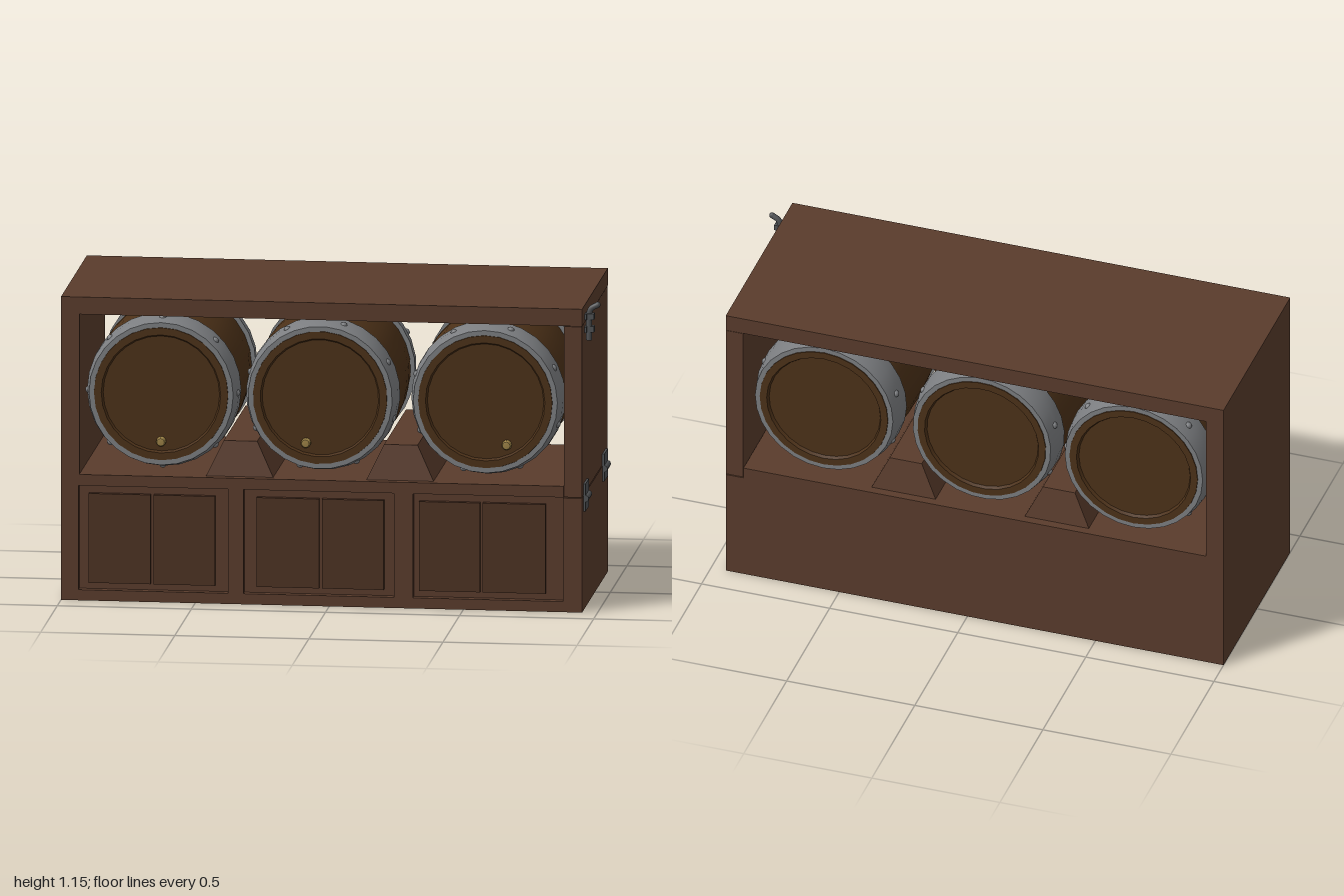
import * as THREE from 'three';
import { toCreasedNormals } from 'three/addons/utils/BufferGeometryUtils.js';

const mat = (color) => new THREE.MeshStandardMaterial({ color });
const wood = mat(0x5a3c2c), doorWood = mat(0x4d3223), barrelWood = mat(0x4c3118);
const steel = mat(0x7c7e81), iron = mat(0x505254), brass = mat(0x9c8246);

function add(parent, name, geometry, material, x = 0, y = 0, z = 0) {
  const mesh = new THREE.Mesh(geometry, material);
  mesh.name = name;
  mesh.position.set(x, y, z);
  parent.add(mesh);
  return mesh;
}

// Box given by its limits on each axis
function block(parent, name, material, [x0, x1], [y0, y1], [z0, z1]) {
  const geometry = new THREE.BoxGeometry(x1 - x0, y1 - y0, z1 - z0);
  return add(parent, name, geometry, material, (x0 + x1) / 2, (y0 + y1) / 2, (z0 + z1) / 2);
}

const outline = (points) => new THREE.Shape(points.map(([x, y]) => new THREE.Vector2(x, y)));
const extrude = (shape, depth) => new THREE.ExtrudeGeometry(shape, { depth, bevelEnabled: false });

// Profile of [radius, z] turned about the z axis
function turned(profile, sides) {
  const geometry = new THREE.LatheGeometry(profile.map(([r, z]) => new THREE.Vector2(r, z)), sides);
  return toCreasedNormals(geometry.rotateX(Math.PI / 2), 0.6);
}

// Box whose top is narrowed on all four sides
function taperedBox(width, height, depth, topX, topZ) {
  const geometry = new THREE.BoxGeometry(width, height, depth);
  const p = geometry.attributes.position;
  for (let i = 0; i < p.count; i++) {
    if (p.getY(i) > 0) p.setXYZ(i, p.getX(i) * topX, p.getY(i), p.getZ(i) * topZ);
  }
  return toCreasedNormals(geometry, 0.1);
}

const D = 0.388; // half depth of the cabinet
const R = 0.943; // right face of the cabinet

function createCabinet() {
  const cabinet = new THREE.Group();
  cabinet.name = 'cabinet';

  // Lower case, stepped at the right for the drop-down side panel
  const caseShape = () => outline([[-1, 0], [R, 0], [R, 0.431], [0.874, 0.431], [0.874, 0.475], [-1, 0.475]]);
  add(cabinet, 'lowerCase', extrude(caseShape(), 2 * D - 0.03), wood, 0, 0, -D);

  // Front frame with three recesses, each holding a pair of raised doors
  const frame = caseShape();
  const bays = [
    { recess: [-0.935, -0.378], doors: [[-0.898, -0.668], [-0.656, -0.427]] },
    { recess: [-0.32, 0.242], doors: [[-0.273, -0.039], [-0.029, 0.202]] },
    { recess: [0.312, 0.871], doors: [[0.333, 0.561], [0.571, 0.805]] },
  ];
  for (const { recess: [a, b], doors } of bays) {
    frame.holes.push(outline([[a, 0.04], [a, 0.433], [b, 0.433], [b, 0.04]]));
    for (const door of doors) block(cabinet, 'cupboardDoor', doorWood, door, [0.065, 0.402], [D - 0.03, D - 0.01]);
  }
  add(cabinet, 'frontFrame', extrude(frame, 0.03), wood, 0, 0, D - 0.03);

  // Upper open shell
  block(cabinet, 'leftEndWall', wood, [-1, -0.932], [0.475, 1.08], [-D, D]);
  block(cabinet, 'topSlab', wood, [-1, R], [1.08, 1.145], [-D, D]);
  block(cabinet, 'dropSidePanel', wood, [0.876, R - 0.001], [0.434, 1.078], [-D + 0.001, D - 0.001]);

  // Chocks between the barrels
  for (const x of [-0.338, 0.26]) {
    add(cabinet, 'barrelChock', taperedBox(0.25, 0.13, 0.71, 0.5, 0.93), wood, x, 0.54, 0);
  }
  return cabinet;
}

function createBarrel() {
  const barrel = new THREE.Group();
  barrel.name = 'barrel';

  // Staves and both recessed heads
  const half = [[0, 0.33], [0.217, 0.33], [0.223, 0.342], [0.25, 0.342], [0.268, 0.23], [0.278, 0.1]];
  const profile = [...half.map(([r, z]) => [r, -z]), [0.281, 0], ...half.reverse()];
  add(barrel, 'barrelBody', turned(profile, 28), barrelWood);

  // Riveted hoop at each end
  const hoopProfile = [[0.25, 0.225], [0.285, 0.225], [0.283, 0.28], [0.269, 0.339], [0.25, 0.339], [0.25, 0.225]];
  for (const turn of [0, Math.PI]) {
    const end = new THREE.Group();
    end.name = 'hoopEnd';
    end.rotation.y = turn;
    add(end, 'hoop', turned(hoopProfile, 28), steel);
    for (let i = 0; i < 8; i++) {
      const a = (i * Math.PI) / 4;
      add(end, 'rivet', new THREE.SphereGeometry(0.014, 10, 8), steel, 0.275 * Math.cos(a), 0.275 * Math.sin(a), 0.285);
    }
    barrel.add(end);
  }

  // Bung near the bottom of the front head
  const bung = [[0, 0.32], [0.018, 0.32], [0.018, 0.345], [0.014, 0.354], [0, 0.356]];
  add(barrel, 'bung', turned(bung, 12), brass, 0, -0.18, 0);
  return barrel;
}

function createHinge(z) {
  const hinge = new THREE.Group();
  hinge.name = 'hinge';
  const width = [z - 0.051, z + 0.051];
  block(hinge, 'upperLeaf', iron, [R - 0.004, R + 0.007], [0.42, 0.476], width);
  block(hinge, 'lowerLeaf', iron, [R - 0.004, R + 0.007], [0.372, 0.42], width);
  const pin = new THREE.CylinderGeometry(0.013, 0.013, 0.102, 12).rotateX(Math.PI / 2);
  add(hinge, 'hingePin', pin, iron, R + 0.006, 0.42, z);
  return hinge;
}

function createLatch() {
  const latch = new THREE.Group();
  latch.name = 'latch';
  const z = 0.289;

  // Bolt with its handle bent outwards
  const path = new THREE.CatmullRomCurve3(
    [[0.957, 1.01], [0.957, 1.06], [0.957, 1.105], [0.964, 1.128], [0.992, 1.145]].map(([x, y]) => new THREE.Vector3(x, y, z)));
  add(latch, 'bolt', new THREE.TubeGeometry(path, 24, 0.011, 10), iron);
  add(latch, 'boltFoot', new THREE.CircleGeometry(0.011, 10).rotateX(Math.PI / 2), iron, 0.957, 1.01, z);
  add(latch, 'boltTip', new THREE.SphereGeometry(0.011, 10, 8), iron, 0.989, 1.144, z);

  // Keepers on the panel and on the top slab
  for (const y of [1.052, 1.1]) {
    block(latch, 'keeperPlate', iron, [R - 0.004, R + 0.007], [y - 0.011, y + 0.011], [z - 0.024, z + 0.024]);
    block(latch, 'keeperLoop', iron, [R - 0.004, R + 0.034], [y - 0.011, y + 0.011], [z - 0.014, z + 0.014]);
  }
  return latch;
}

export function createModel() {
  const model = new THREE.Group();
  model.name = 'barrelCabinet';
  model.add(createCabinet());

  // Three barrels, each rolled a little differently
  for (const [x, roll] of [[-0.633, 0], [-0.04, -0.3], [0.576, 0.46]]) {
    const barrel = createBarrel();
    barrel.position.set(x, 0.777, 0);
    barrel.rotation.z = roll;
    model.add(barrel);
  }

  model.add(createHinge(0.289), createHinge(-0.276), createLatch());
  return model;
}
